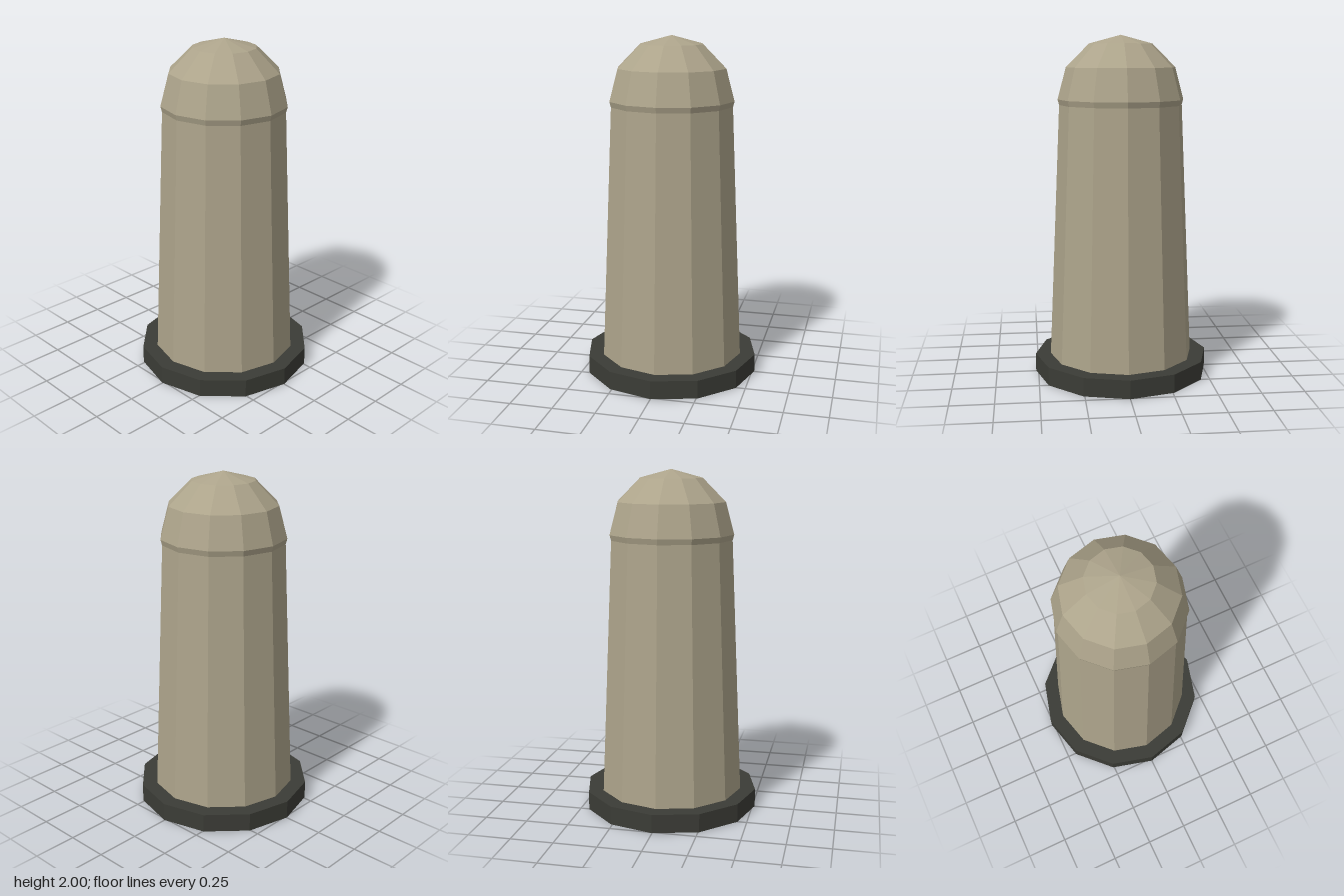
import * as THREE from 'three';

export function createModel() {
  const model = new THREE.Group();
  model.name = 'bollard';
  const SIDES = 12;

  const stone = new THREE.MeshStandardMaterial({ color: 0xada48b, flatShading: true });
  stone.name = 'warm stone';
  const dark = new THREE.MeshStandardMaterial({ color: 0x3b3c36, flatShading: true });
  dark.name = 'dark base';

  const add = (name, geometry, material, y) => {
    const mesh = new THREE.Mesh(geometry, material);
    mesh.name = name;
    mesh.position.y = y;
    model.add(mesh);
  };

  // Base collar, a hair above the ground so the post's underside stays visible
  add('baseCollar', new THREE.CylinderGeometry(0.515, 0.515, 0.108, SIDES), dark, 0.056);

  // Tapered post running through the collar to the ground
  add('post', new THREE.CylinderGeometry(0.357, 0.43, 1.633, SIDES), stone, 1.633 / 2);

  // Faceted ball sunk into the post top, leaving a slight lip under its equator
  add('domeCap', new THREE.SphereGeometry(0.367, SIDES, 6), stone, 1.633);

  return model;
}
